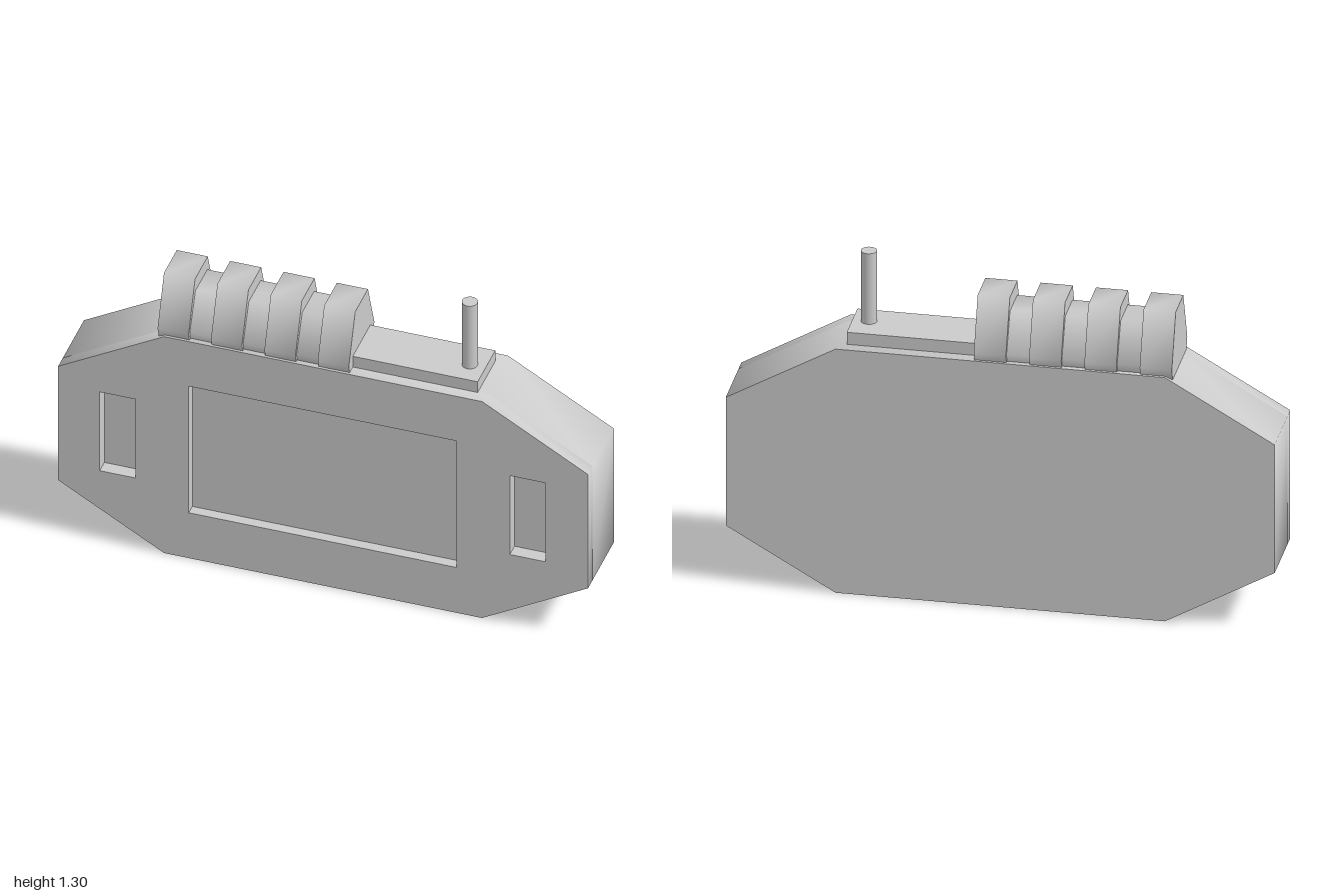
import * as THREE from 'three';
import { toCreasedNormals } from 'three/addons/utils/BufferGeometryUtils.js';

const material = new THREE.MeshStandardMaterial({ color: 0xcccccc });
const CREASE = THREE.MathUtils.degToRad(78);
const DEPTH = 0.144;      // half thickness of the body
const SLOT_FLOOR = 0.092; // z of the slot floors
const SCREEN_FLOOR = 0.104;

function addMesh(parent, name, geometry, x = 0, y = 0, z = 0) {
  const mesh = new THREE.Mesh(geometry, material);
  mesh.name = name;
  mesh.position.set(x, y, z);
  parent.add(mesh);
  return mesh;
}

const outline = (points) => points.map(([x, y]) => new THREE.Vector2(x, y));

function extrude(shape, depth) {
  return toCreasedNormals(new THREE.ExtrudeGeometry(shape, { depth, bevelEnabled: false }), CREASE);
}

function rectangle(x0, y0, x1, y1) {
  return new THREE.Path(outline([[x0, y0], [x0, y1], [x1, y1], [x1, y0]]));
}

const bodyShape = () => new THREE.Shape(outline([
  [-0.6, 0], [0.6, 0], [1, 0.23], [1, 0.74], [0.6, 0.97], [-0.6, 0.97], [-1, 0.74], [-1, 0.23],
]));

// Tapered cross-section in z and y, extruded along x
function ridge(x0, x1, top, topHalf, midHalf, baseHalf) {
  const shape = new THREE.Shape(outline([
    [-baseHalf, 0.95], [baseHalf, 0.95], [midHalf, 1], [topHalf, top], [-topHalf, top], [-midHalf, 1],
  ]));
  return extrude(shape, x1 - x0).rotateY(Math.PI / 2).translate(x0, 0, 0);
}

export function createModel() {
  const model = new THREE.Group();
  model.name = 'handheldDevice';

  // Solid rear of the casing
  addMesh(model, 'rearCasing', extrude(bodyShape(), SLOT_FLOOR + DEPTH), 0, 0, -DEPTH);

  // Front casing with a screen opening and two side slots
  const front = bodyShape();
  front.holes.push(rectangle(-0.507, 0.203, 0.503, 0.77));
  for (const [x0, x1] of [[-0.843, -0.708], [0.705, 0.84]]) {
    front.holes.push(rectangle(x0, 0.31, x1, 0.663));
  }
  addMesh(model, 'frontCasing', extrude(front, DEPTH - SLOT_FLOOR), 0, 0, SLOT_FLOOR);

  // Screen set into its opening
  const screenDepth = SCREEN_FLOOR - SLOT_FLOOR;
  addMesh(model, 'screen', new THREE.BoxGeometry(1.01, 0.567, screenDepth),
    -0.002, 0.4865, SLOT_FLOOR + screenDepth / 2);

  // Ribbed grip on the top edge
  const grip = new THREE.Group();
  grip.name = 'ribbedGrip';
  model.add(grip);
  addMesh(grip, 'gripCore', ridge(-0.55, 0.03, 1.143, 0.066, 0.13, 0.118));
  for (let i = 0; i < 4; i++) {
    const x = -0.625 + i * 0.2015;
    addMesh(grip, 'gripRib', ridge(x, x + 0.117, 1.198, 0.071, 0.143, 0.127));
  }

  // Antenna and its mounting plate
  addMesh(model, 'antennaPlate', new THREE.BoxGeometry(0.52, 0.07, 0.196), 0.308, 0.983, 0);
  addMesh(model, 'antenna', new THREE.CylinderGeometry(0.029, 0.029, 0.3, 24), 0.508, 1.149, 0.008);

  return model;
}
